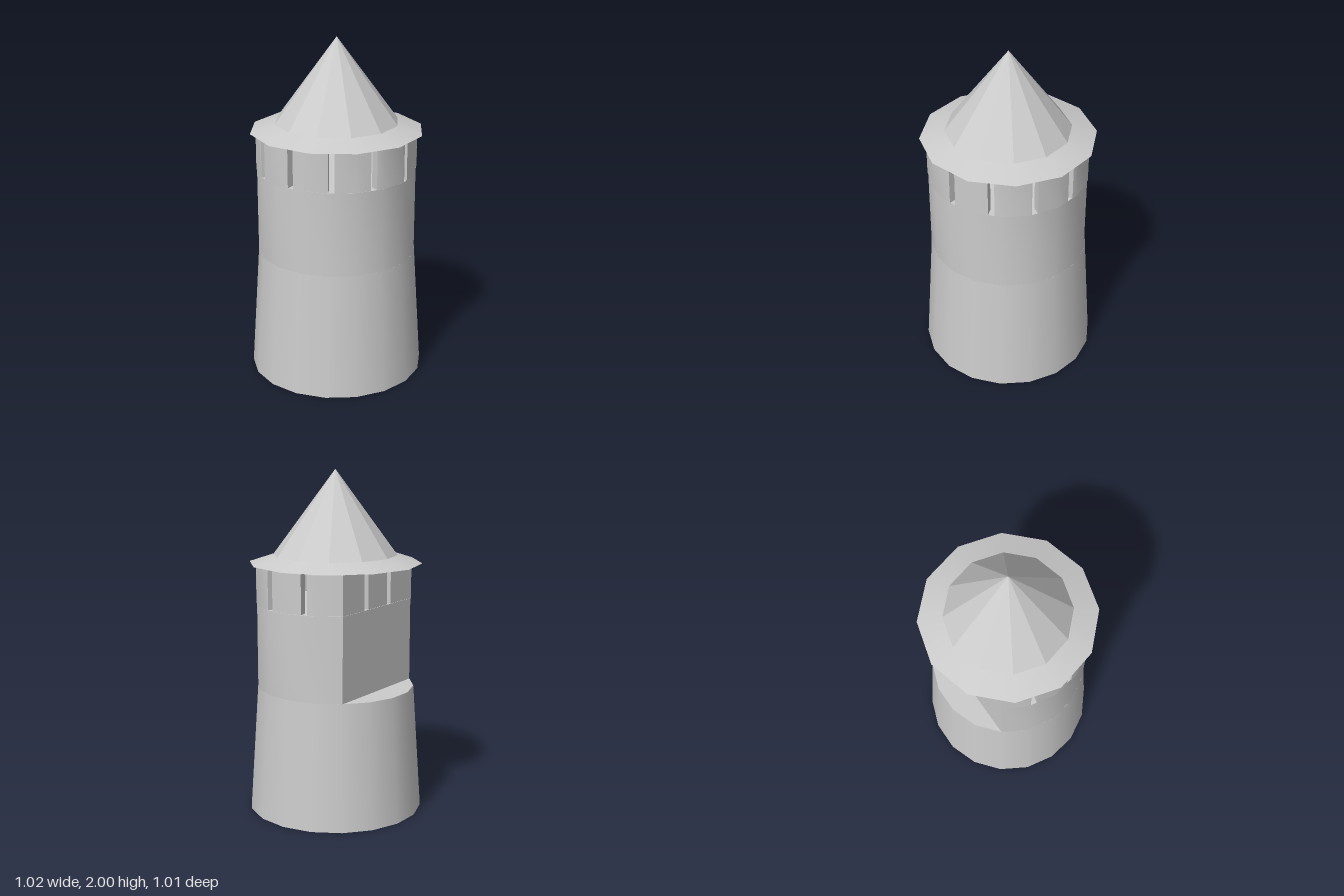
import * as THREE from 'three';
import { toCreasedNormals } from 'three/addons/utils/BufferGeometryUtils.js';

const rad = THREE.MathUtils.degToRad;
const SIDES = 18;
const BODY_R = 0.462;
const TURN = 2; // degrees the body polygon is turned

// Plan angles run from +x toward the back (-z); plan y is -z.
const polar = (r, deg) => new THREE.Vector2(r * Math.cos(rad(deg)), r * Math.sin(rad(deg)));

// Plan of the body: an 18-sided polygon with one flat back wall
const cornerAngles = [];
for (let k = 0; k < SIDES; k++) {
  const a = TURN + k * 20;
  if (a < 50 || a > 130) cornerAngles.push(a);
}

// Distance from the axis to the body outline at a plan angle
function outlineRadius(deg) {
  const a = (deg + 720) % 360;
  const n = cornerAngles.length;
  let i = n - 1;
  for (let k = 0; k < n; k++) if (cornerAngles[k] <= a) i = k;
  const p = polar(BODY_R, cornerAngles[i]);
  const q = polar(BODY_R, cornerAngles[(i + 1) % n]);
  const e = q.clone().sub(p);
  const d = polar(1, a);
  return (p.x * e.y - p.y * e.x) / (d.x * e.y - d.y * e.x);
}

// Vertical prism from a plan outline, smooth around the curve, sharp at corners
function prism(points, y0, y1) {
  const g = new THREE.ExtrudeGeometry(new THREE.Shape(points), { depth: y1 - y0, bevelEnabled: false });
  g.rotateX(-Math.PI / 2);
  g.translate(0, y0, 0);
  return toCreasedNormals(g, 0.5);
}

export function createModel() {
  const model = new THREE.Group();
  const grey = new THREE.MeshStandardMaterial({ color: 0xcccccc, side: THREE.DoubleSide });
  const facetedGrey = new THREE.MeshStandardMaterial({ color: 0xcccccc, side: THREE.DoubleSide, flatShading: true });

  function add(name, geometry, y = 0, material = grey, parent = model) {
    const mesh = new THREE.Mesh(geometry, material);
    mesh.name = name;
    mesh.position.y = y;
    parent.add(mesh);
    return mesh;
  }

  // Tapered base, open underneath, with a ledge on top
  add('base', new THREE.CylinderGeometry(0.462, 0.512, 0.738, SIDES, 1, true, rad(11.3)), 0.369);
  const ledge = new THREE.CircleGeometry(0.462, SIDES, rad(1.3));
  ledge.rotateX(-Math.PI / 2);
  add('ledge', ledge, 0.738);

  // Straight upper body with the flat back
  add('body', prism(cornerAngles.map((a) => polar(BODY_R, a)), 0.738, 1.23));

  // Ring of wall panels separated by narrow slots
  const panels = new THREE.Group();
  panels.name = 'slottedWall';
  model.add(panels);
  const slots = [-15, 15, 69.5, 112, 165, 195, 225, 255, 285, 315];
  const halfSlot = 0.018;
  slots.forEach((slot, i) => {
    const next = i + 1 < slots.length ? slots[i + 1] : slots[0] + 360;
    const start = slot + THREE.MathUtils.radToDeg(halfSlot / outlineRadius(slot));
    const end = next - THREE.MathUtils.radToDeg(halfSlot / outlineRadius(next));
    const angles = [start];
    for (const turn of [-360, 0, 360]) {
      for (const a of cornerAngles) if (a + turn > start && a + turn < end) angles.push(a + turn);
    }
    angles.push(end);
    const outer = angles.map((a) => polar(outlineRadius(a) * 1.008, a));
    const inner = angles.map((a) => polar(outlineRadius(a) * 0.89, a)).reverse();
    add('wallPanel', prism([...outer, ...inner], 1.232, 1.457), 0, grey, panels);
  });

  // Roof: shallow brim and a steep faceted cone
  add('roofBrim', new THREE.CylinderGeometry(0.36, 0.503, 0.047, 12, 1, false, rad(1.3)), 1.4875);
  add('roofCone', new THREE.ConeGeometry(0.36, 0.489, 12, 1, true, rad(1.3)), 1.7555, facetedGrey);

  return model;
}
